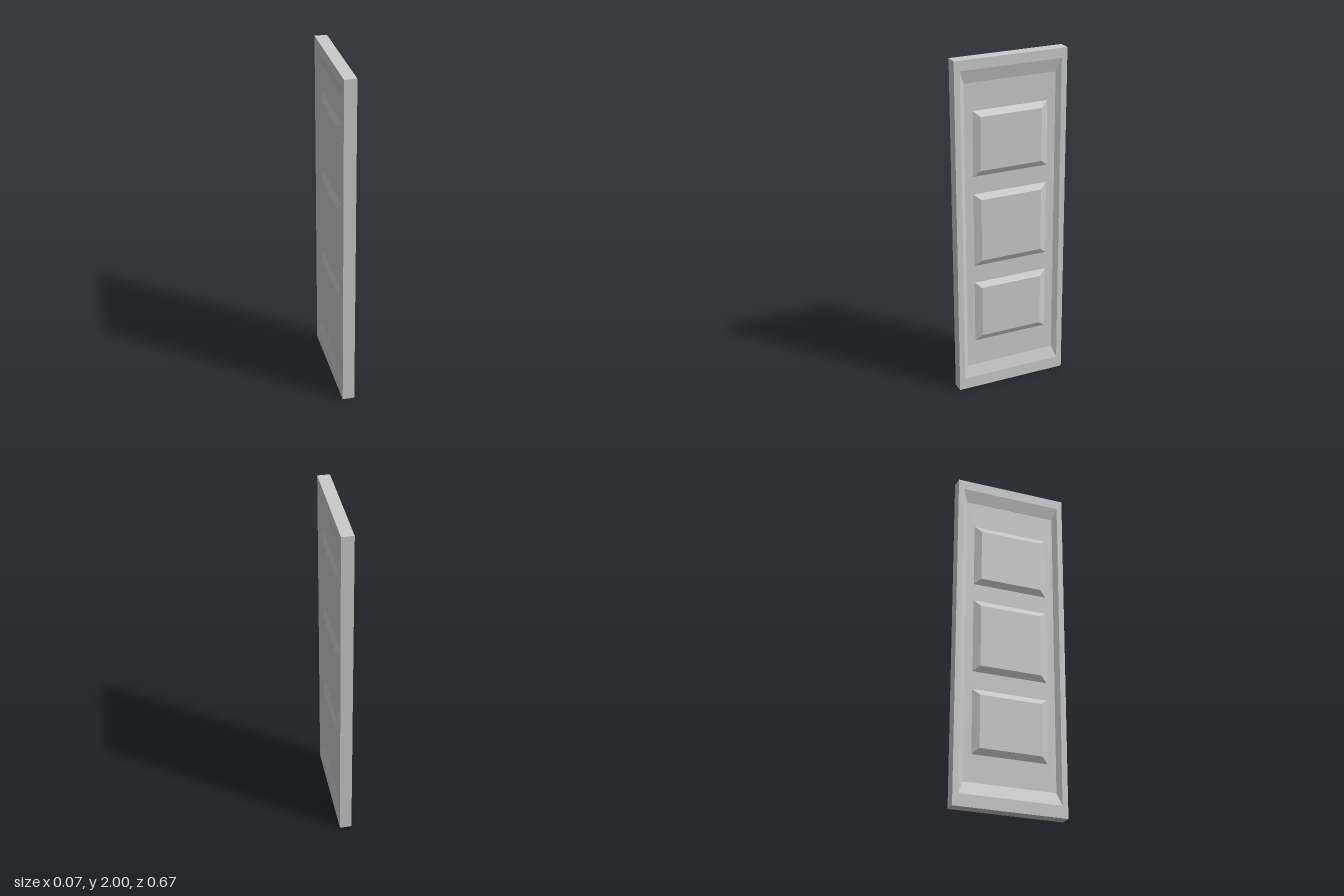
import * as THREE from 'three';

const FACE = 0.035;   // half thickness of the door
const FLOOR = 0.017;  // depth level of the sunken field

const material = new THREE.MeshStandardMaterial({ color: 0xcccccc, flatShading: true });

// A rectangle centred sideways, at depth d: four corners counter-clockwise
const rect = (halfWidth, y0, y1, d) => [
  [-halfWidth, y0, d], [halfWidth, y0, d], [halfWidth, y1, d], [-halfWidth, y1, d],
];

function mesh(name, geometry) {
  const m = new THREE.Mesh(geometry, material);
  m.name = name;
  return m;
}

// Four mitred strips joining an outer rectangle to an inner one
function band(name, outer, inner) {
  const pos = [];
  for (let i = 0; i < 4; i++) {
    const j = (i + 1) % 4;
    pos.push(...outer[i], ...outer[j], ...inner[j], ...outer[i], ...inner[j], ...inner[i]);
  }
  const g = new THREE.BufferGeometry();
  g.setAttribute('position', new THREE.Float32BufferAttribute(pos, 3));
  g.computeVertexNormals();
  return mesh(name, g);
}

// Flat sheet filling a rectangle, with optional rectangular holes
function sheet(name, outline, holes = []) {
  const points = (r) => r.map(([x, y]) => new THREE.Vector2(x, y));
  const shape = new THREE.Shape(points(outline));
  for (const h of holes) shape.holes.push(new THREE.Path(points(h)));
  const g = new THREE.ShapeGeometry(shape);
  g.translate(0, 0, outline[0][2]);
  return mesh(name, g);
}

const edge = (d) => rect(0.3335, 0, 2, d);

// One decorated side of the door, facing +z before it is turned
function doorSide() {
  const side = new THREE.Group();
  const rim = rect(0.3, 0.07, 1.943, FACE);
  const field = rect(0.273, 0.143, 1.867, FLOOR);
  side.add(band('frame', edge(FACE), rim), band('frameBevel', rim, field));

  // Three raised panels: lower, middle, upper
  const bases = [[0.302, 0.679], [0.785, 1.225], [1.33, 1.709]]
    .map(([y0, y1]) => rect(0.224, y0, y1, FLOOR));
  side.add(sheet('sunkenField', field, bases));
  for (const base of bases) {
    const top = rect(0.184, base[0][1] + 0.034, base[2][1] - 0.034, FACE);
    const panel = new THREE.Group();
    panel.name = 'raisedPanel';
    panel.add(band('panelBevel', base, top), sheet('panelFace', top));
    side.add(panel);
  }
  return side;
}

export function createModel() {
  const door = new THREE.Group();
  door.name = 'door';

  // Same panelling on both broad sides
  for (const s of [1, -1]) {
    const side = doorSide();
    side.name = s > 0 ? 'leftSide' : 'rightSide';
    side.rotation.y = s * Math.PI / 2;
    door.add(side);
  }

  // Narrow edges around the door
  const edges = band('doorEdges', edge(-FACE), edge(FACE));
  edges.rotation.y = Math.PI / 2;
  door.add(edges);
  return door;
}
